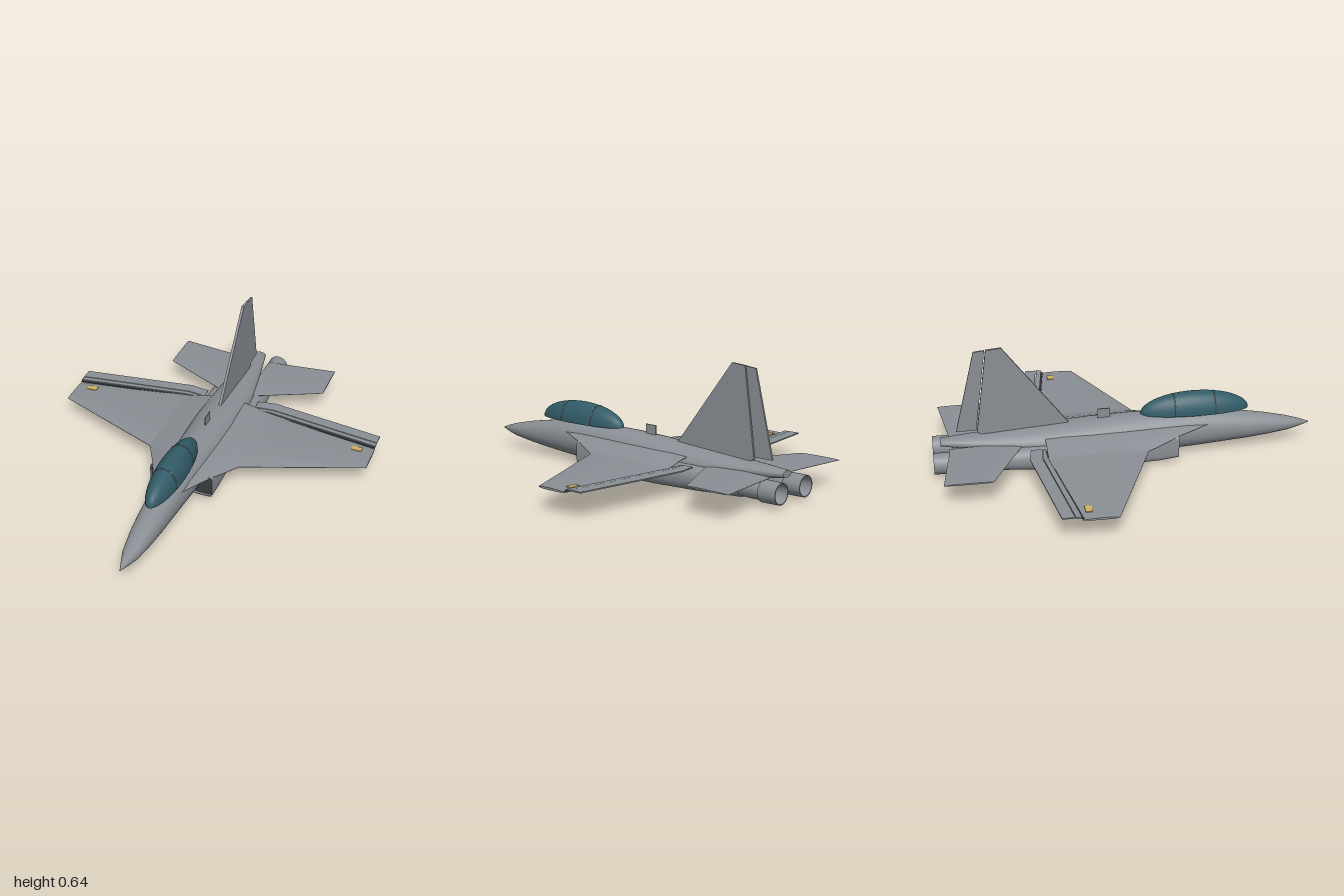
import * as THREE from 'three';
import { toCreasedNormals } from 'three/addons/utils/BufferGeometryUtils.js';

const mat = (name, color) => Object.assign(new THREE.MeshStandardMaterial({ color }), { name });

// Skin a list of equal-length point rings into a closed solid, turned outwards by signed volume
function loft(rings, crease = 0.6) {
  const n = rings[0].length, pos = rings.flat(2), idx = [];
  for (let i = 0; i < rings.length - 1; i++) {
    for (let j = 0; j < n; j++) {
      const a = i * n + j, b = i * n + (j + 1) % n;
      idx.push(a, b, a + n, b, b + n, a + n);
    }
  }
  const cap = (ring, start, flip) => {
    const c = pos.length / 3;
    for (let k = 0; k < 3; k++) pos.push(ring.reduce((s, p) => s + p[k], 0) / n);
    for (let j = 0; j < n; j++) {
      const a = start + j, b = start + (j + 1) % n;
      idx.push(c, flip ? b : a, flip ? a : b);
    }
  };
  cap(rings[0], 0, true);
  cap(rings.at(-1), (rings.length - 1) * n, false);
  const P = (i) => new THREE.Vector3().fromArray(pos, i * 3);
  let volume = 0;
  for (let i = 0; i < idx.length; i += 3) volume += P(idx[i]).dot(P(idx[i + 1]).cross(P(idx[i + 2])));
  if (volume < 0) idx.reverse();
  const g = new THREE.BufferGeometry();
  g.setAttribute('position', new THREE.Float32BufferAttribute(pos, 3));
  g.setIndex(idx);
  return toCreasedNormals(g, crease);
}

// Superellipse ring across z: centre, half sizes and squareness
function ring(z, cx, cy, hw, hh, e = 2, n = 36) {
  return Array.from({ length: n }, (_, i) => {
    const a = (i / n) * Math.PI * 2, c = Math.cos(a), s = Math.sin(a);
    return [cx + hw * Math.sign(c) * Math.abs(c) ** (2 / e),
      cy + hh * Math.sign(s) * Math.abs(s) ** (2 / e), z];
  });
}

// Lens-shaped wing section at station x, from leading edge zf to trailing edge zr
function foil(x, zf, zr, y, t, n = 9) {
  const top = [], bottom = [];
  for (let i = 0; i <= n; i++) {
    const u = i / n, h = t * (0.12 + 0.88 * Math.sqrt(Math.sin(Math.PI * u ** 0.8) + 1e-9)) / 2;
    top.push([x, y + h, zf + (zr - zf) * u]);
    bottom.unshift([x, y - h, zf + (zr - zf) * u]);
  }
  return [...top, ...bottom];
}

// Flat plate from an outline, lying level (x, z) or standing upright (z, y)
function plate(points, thick, y) {
  const g = new THREE.ExtrudeGeometry(new THREE.Shape(points.map(([x, z]) => new THREE.Vector2(x, -z))),
    { depth: thick, bevelEnabled: false });
  return g.rotateX(-Math.PI / 2).translate(0, y - thick / 2, 0);
}
function uprightPlate(points, thick) {
  const g = new THREE.ExtrudeGeometry(new THREE.Shape(points.map(([z, y]) => new THREE.Vector2(-z, y))),
    { depth: thick, bevelEnabled: false });
  return g.translate(0, 0, -thick / 2).rotateY(Math.PI / 2);
}

export function createModel() {
  const model = new THREE.Group();
  model.name = 'jetAircraft';
  const grey = mat('airframeGrey', 0x8a8f95);
  const glass = mat('canopyGlass', 0x315b67);
  const dark = mat('darkInterior', 0x3a3c40);
  const frameGrey = mat('canopyFrame', 0x6e6a68);
  const amber = mat('amberLight', 0xd0ae62);
  const add = (name, geometry, material, parent = model) => {
    const mesh = new THREE.Mesh(geometry, material);
    mesh.name = name;
    parent.add(mesh);
  };

  // Fuselage: z, half width, bottom, top
  const body = [
    [1, 0.002, 0.103, 0.107], [0.95, 0.019, 0.088, 0.126], [0.88, 0.042, 0.073, 0.146], [0.76, 0.06, 0.058, 0.173],
    [0.65, 0.071, 0.047, 0.192], [0.5, 0.081, 0.036, 0.214], [0.38, 0.089, 0.028, 0.223],
    [0.2, 0.102, 0.02, 0.228], [0, 0.114, 0.022, 0.226], [-0.2, 0.121, 0.026, 0.217],
    [-0.4, 0.117, 0.038, 0.203], [-0.56, 0.102, 0.058, 0.192], [-0.7, 0.08, 0.085, 0.182],
    [-0.85, 0.053, 0.113, 0.173], [-0.96, 0.034, 0.13, 0.165],
  ];
  add('fuselage', loft(body.map(([z, w, b, t]) => ring(z, 0, (b + t) / 2, w, (t - b) / 2, 2.1))), grey);

  // Canopy: half ellipsoid with a flat floor and two frame hoops
  const canopy = new THREE.Group();
  canopy.name = 'canopy';
  canopy.position.set(0, 0.222, 0.37);
  model.add(canopy);
  const dome = new THREE.SphereGeometry(1, 40, 16, 0, Math.PI * 2, 0, Math.PI / 2);
  add('canopyGlass', dome.scale(0.076, 0.11, 0.29), glass, canopy);
  const floor = new THREE.CircleGeometry(1, 40).rotateX(Math.PI / 2);
  add('canopyFloor', floor.scale(0.076, 1, 0.29), glass, canopy);
  for (const z of [0.1, -0.115]) {
    const k = Math.sqrt(1 - (z / 0.29) ** 2);
    const hoop = new THREE.TorusGeometry(1, 0.02, 6, 32, Math.PI);
    add('canopyHoop', hoop.scale(0.076 * k, 0.11 * k, 0.15).translate(0, 0, z), frameGrey, canopy);
  }

  // Fin, rudder and blade antenna
  add('fin', uprightPlate([[-0.29, 0.2], [-0.63, 0.645], [-0.708, 0.638], [-0.77, 0.19], [-0.72, 0.16], [-0.35, 0.17]], 0.014), grey);
  add('rudder', uprightPlate([[-0.713, 0.637], [-0.77, 0.631], [-0.876, 0.2], [-0.774, 0.2]], 0.01), grey);
  add('antenna', uprightPlate([[-0.08, 0.2], [-0.08, 0.27], [-0.145, 0.27], [-0.145, 0.2]], 0.007), grey);

  for (const s of [1, -1]) {
    const side = new THREE.Group();
    side.name = s > 0 ? 'leftSide' : 'rightSide';
    model.add(side);
    const flip = (pts) => pts.map(([x, z]) => [s * x, z]);

    // Blended wing root and tapered outer wing
    const root = [[0.06, 0.47, 0.17, 0.018], [0.088, 0.4, 0.166, 0.022], [0.16, 0.25, 0.152, 0.024],
      [0.2, 0.172, 0.138, 0.024], [0.25, 0.08, 0.128, 0.022]];
    add('wingRoot', loft(root.map(([x, z, y, t]) => foil(s * x, z, -0.43, y, t))), grey, side);
    add('wing', loft([foil(s * 0.25, 0.08, -0.43, 0.128, 0.022), foil(s * 0.86, -0.17, -0.343, 0.118, 0.011)]), grey, side);
    add('hingeGap', plate(flip([[0.16, -0.425], [0.25, -0.425], [0.858, -0.338], [0.858, -0.35], [0.25, -0.437], [0.16, -0.437]]), 0.004, 0.126), dark, side);

    // Trailing edge strip and flap
    add('flapStrip', plate(flip([[0.15, -0.434], [0.25, -0.434], [0.86, -0.347], [0.86, -0.375], [0.25, -0.458], [0.15, -0.448]]), 0.006, 0.133), grey, side);
    add('flap', plate(flip([[0.15, -0.452], [0.25, -0.462], [0.86, -0.379], [0.86, -0.44], [0.25, -0.525], [0.15, -0.51]]), 0.006, 0.134), grey, side);
    add('wingLight', new THREE.BoxGeometry(0.055, 0.008, 0.034).translate(s * 0.772, 0.124, -0.305), amber, side);

    // Tailplane
    add('tailplane', loft([foil(s * 0.07, -0.535, -0.915, 0.135, 0.014),
      foil(s * 0.14, -0.57, -0.922, 0.135, 0.014), foil(s * 0.455, -0.72, -0.96, 0.135, 0.008)]), grey, side);

    // Engine nacelle: the first two rings form the open intake lip
    const nacelle = [
      [0.15, 0.116, 0.097, 0.046, 0.052, 7], [0.255, 0.118, 0.097, 0.049, 0.056, 7],
      [0.255, 0.118, 0.097, 0.054, 0.061, 7], [0.15, 0.116, 0.087, 0.055, 0.067, 5],
      [0, 0.112, 0.078, 0.056, 0.071, 3], [-0.25, 0.109, 0.073, 0.057, 0.068, 2.5],
      [-0.5, 0.107, 0.073, 0.057, 0.061, 2.2], [-0.65, 0.103, 0.074, 0.054, 0.055, 2], [-0.78, 0.1, 0.075, 0.05, 0.05, 2],
    ];
    add('nacelle', loft(nacelle.map(([z, x, y, w, h, e]) => ring(z, s * x, y, w, h, e))), grey, side);
    add('intakeDuct', loft([ring(0.14, s * 0.118, 0.097, 0.047, 0.054, 7), ring(0.245, s * 0.118, 0.097, 0.047, 0.054, 7)]), dark, side);

    // Exhaust nozzle with a stepped collar and a dark core
    const nozzle = [[-0.74, 0.044], [-0.84, 0.047], [-0.9, 0.047], [-0.9, 0.055], [-1, 0.054], [-1, 0.049], [-0.9, 0.042]];
    add('nozzle', loft(nozzle.map(([z, r]) => ring(z, s * 0.1, 0.076, r, r))), grey, side);
    add('nozzleCore', new THREE.CircleGeometry(0.036, 32).rotateY(Math.PI).translate(s * 0.1, 0.076, -0.903), dark, side);
  }
  return model;
}
